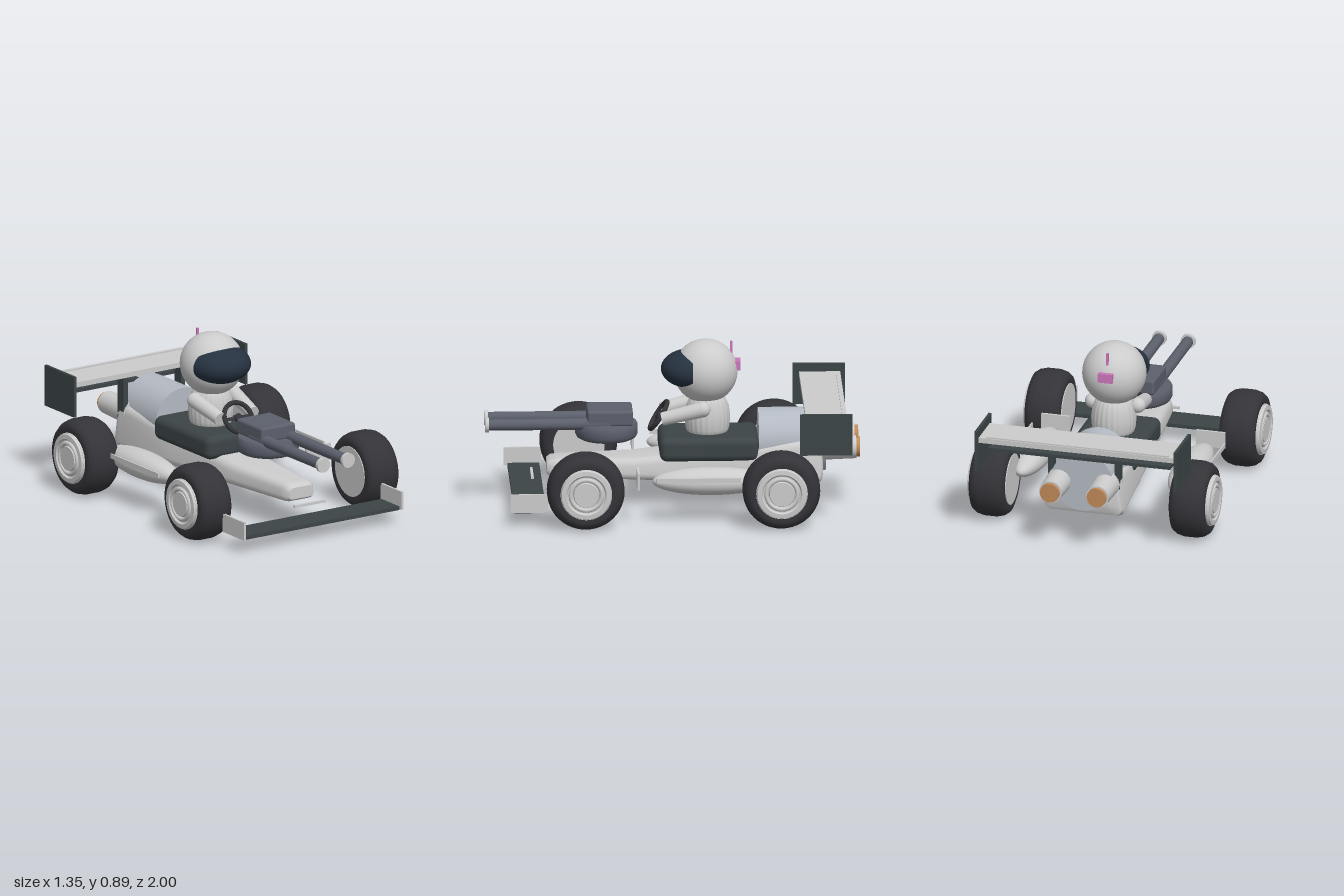
import * as THREE from 'three';
import { toCreasedNormals } from 'three/addons/utils/BufferGeometryUtils.js';
import { RoundedBoxGeometry } from 'three/addons/geometries/RoundedBoxGeometry.js';

const mat = (color) => new THREE.MeshStandardMaterial({ color, side: THREE.DoubleSide });

export function createModel() {
  const car = new THREE.Group();
  car.name = 'racingKart';
  const light = mat(0xcccccc);
  const dark = mat(0x3c4447);
  const rubber = mat(0x343338);
  const gunmetal = mat(0x5c606c);
  const steel = mat(0xb4bac3);
  const visorBlue = mat(0x263240);
  const pink = mat(0xcc77bb);
  const orange = mat(0xc08a58);

  const add = (name, geo, m, x = 0, y = 0, z = 0, parent = car) => {
    const mesh = new THREE.Mesh(geo, m);
    mesh.name = name;
    mesh.position.set(x, y, z);
    parent.add(mesh);
    return mesh;
  };
  const box = (name, m, w, h, d, x, y, z) => add(name, new THREE.BoxGeometry(w, h, d), m, x, y, z);
  // Cylinder along z: r0 at the back, r1 at the front
  const rod = (name, m, r0, r1, z0, z1, x, y, seg = 28) => add(name,
    new THREE.CylinderGeometry(r1, r0, z1 - z0, seg).rotateX(Math.PI / 2), m, x, y, (z0 + z1) / 2);
  // Cylinder between two points
  const limb = (name, m, a, b, r0, r1) => {
    const dir = b.clone().sub(a);
    const mesh = add(name, new THREE.CylinderGeometry(r1, r0, dir.length(), 20), m);
    mesh.position.copy(a).add(b).multiplyScalar(0.5);
    mesh.quaternion.setFromUnitVectors(new THREE.Vector3(0, 1, 0), dir.normalize());
    return mesh;
  };

  add('hull', hullGeometry(), light);

  // Cockpit tub and engine
  add('cockpit', new RoundedBoxGeometry(0.39, 0.13, 0.53, 5, 0.04), dark, 0, 0.335, -0.195);
  rod('engine', steel, 0.17, 0.17, -0.82, -0.46, 0, 0.35, 40);

  // Turret with twin barrels
  const turret = [[0, 0.365], [0.14, 0.365], [0.158, 0.375], [0.168, 0.395], [0.168, 0.44],
    [0.16, 0.455], [0, 0.455]].map(([r, y]) => new THREE.Vector2(r, y));
  add('turretBase', toCreasedNormals(new THREE.LatheGeometry(turret, 40), 0.6), gunmetal, 0, 0, 0.35);
  add('turretTop', new RoundedBoxGeometry(0.22, 0.085, 0.245, 3, 0.015), gunmetal, 0, 0.492, 0.333);

  // Front wing
  box('frontWing', dark, 1.01, 0.02, 0.17, 0, 0.09, 0.775);
  box('noseBar', light, 0.2, 0.014, 0.014, 0, 0.172, 0.748);

  // Rear wing
  box('rearWing', light, 1.1, 0.028, 0.22, 0, 0.564, -0.81);
  box('rearWingLip', light, 1.01, 0.012, 0.02, 0, 0.58, -0.905);
  box('lowerRearWing', dark, 1.01, 0.018, 0.09, 0, 0.5, -0.83);

  for (const s of [-1, 1]) {
    rod('barrel', gunmetal, 0.032, 0.03, 0.33, 0.99, s * 0.08, 0.46);
    rod('muzzle', light, 0.04, 0.04, 0.98, 1.0, s * 0.08, 0.46);
    box('frontEndplate', light, 0.013, 0.1, 0.2, s * 0.51, 0.135, 0.78);
    box('rearEndplate', dark, 0.016, 0.225, 0.28, s * 0.553, 0.51, -0.805);
    box('wingPost', dark, 0.028, 0.29, 0.06, s * 0.185, 0.41, -0.755);

    // Exhausts
    rod('exhaust', light, 0.062, 0.072, -0.98, -0.72, s * 0.13, 0.335);
    rod('exhaustGlow', orange, 0.053, 0.053, -1.0, -0.97, s * 0.13, 0.335);

    // Side pods with deflectors
    add('sidePod', new THREE.SphereGeometry(1, 32, 20).rotateX(Math.PI / 2).scale(0.09, 0.075, 0.32),
      light, s * 0.43, 0.23, -0.2);
    box('deflector', light, 0.16, 0.09, 0.014, s * 0.43, 0.245, 0.195);
    box('sideRail', light, 0.008, 0.025, 0.45, s * 0.535, 0.258, -0.125);

    // Wheels
    wheel('frontWheel', s, 0.54, 0.48);
    wheel('rearWheel', s, 0.555, -0.565);

    // Arms
    const shoulder = new THREE.Vector3(s * 0.125, 0.545, -0.16);
    const hand = new THREE.Vector3(s * 0.105, 0.49, 0.055);
    add('shoulder', new THREE.SphereGeometry(0.042, 20, 14), light, ...shoulder.toArray());
    limb('arm', light, shoulder, hand, 0.042, 0.036);
  }

  // Driver torso with fluted sides
  const profile = [[0, 0.38], [0.1, 0.38], [0.115, 0.42], [0.12, 0.48], [0.112, 0.54],
    [0.095, 0.58], [0.07, 0.61], [0, 0.62]].map(([r, y]) => new THREE.Vector2(r, y));
  const torso = new THREE.LatheGeometry(profile, 96);
  const p = torso.attributes.position;
  for (let i = 0; i < p.count; i++) {
    const k = 1 + 0.018 * Math.cos(24 * Math.atan2(p.getZ(i), p.getX(i)));
    p.setXYZ(i, p.getX(i) * k, p.getY(i), p.getZ(i) * k);
  }
  torso.computeVertexNormals();
  add('driverTorso', torso, light, 0, 0, -0.19);

  // Helmet, visor and radio
  add('helmet', new THREE.SphereGeometry(0.172, 40, 28), light, 0, 0.728, -0.18);
  add('visor', new THREE.SphereGeometry(1, 40, 20, 0, Math.PI * 2, 0, Math.PI / 2)
    .rotateX(Math.PI / 2).scale(0.17, 0.103, 0.165), visorBlue, 0, 0.742, -0.107);
  box('helmetRadio', pink, 0.08, 0.05, 0.03, 0, 0.762, -0.352);
  box('radioAntenna', pink, 0.012, 0.08, 0.012, 0, 0.85, -0.317);

  // Steering wheel
  const steering = new THREE.Group();
  steering.name = 'steeringWheel';
  steering.position.set(0, 0.485, 0.07);
  steering.rotation.x = -0.57;
  car.add(steering);
  add('rim', new THREE.TorusGeometry(0.085, 0.013, 12, 40), rubber, 0, 0, 0, steering);
  add('spoke', new THREE.BoxGeometry(0.165, 0.016, 0.01), rubber, 0, 0, 0, steering);
  add('hub', new THREE.CylinderGeometry(0.022, 0.022, 0.02, 20).rotateX(Math.PI / 2), rubber, 0, 0, 0, steering);

  // Tyre, rim and hub ring, mirrored to either side
  function wheel(name, s, x, z) {
    const g = new THREE.Group();
    g.name = name;
    g.position.set(s * x, 0.212, z);
    g.rotation.z = -s * Math.PI / 2;
    car.add(g);
    const half = [[0.135, 0.095], [0.16, 0.1], [0.182, 0.092], [0.198, 0.07], [0.207, 0.035]];
    const pts = [...half.map(([r, y]) => [r, -y]), ...half.slice().reverse()]
      .map(([r, y]) => new THREE.Vector2(r, y));
    add('tyre', new THREE.LatheGeometry(pts, 48), rubber, 0, 0, 0, g);
    add('rim', new THREE.CylinderGeometry(0.138, 0.138, 0.205, 40), light, 0, 0.002, 0, g);
    const cap = [[0.138, 0.1], [0.132, 0.116], [0.108, 0.118], [0.1, 0.108], [0, 0.108]]
      .map(([r, y]) => new THREE.Vector2(r, y));
    add('hubcap', toCreasedNormals(new THREE.LatheGeometry(cap, 40), 0.5), light, 0, 0, 0, g);
    add('hubRing', new THREE.TorusGeometry(0.083, 0.012, 10, 40).rotateX(Math.PI / 2), light, 0, 0.108, 0, g);
    add('hub', new THREE.CylinderGeometry(0.066, 0.07, 0.012, 32), light, 0, 0.112, 0, g);
  }
  return car;
}

// Tapered wedge lofted through rounded sections [z, half width, bottom, top]
function hullGeometry() {
  const sections = [
    [-0.8, 0.2, 0.18, 0.36], [-0.79, 0.215, 0.16, 0.38], [-0.76, 0.225, 0.15, 0.39],
    [-0.3, 0.185, 0.15, 0.33], [0.2, 0.14, 0.158, 0.275], [0.61, 0.1, 0.167, 0.267],
    [0.65, 0.095, 0.172, 0.262], [0.67, 0.08, 0.185, 0.248],
  ];
  const pos = [], idx = [], per = 24;
  for (const [z, w, y0, y1] of sections) {
    const r = Math.min(0.04, (y1 - y0) * 0.35);
    for (let c = 0; c < 4; c++) {
      const sx = c === 0 || c === 3 ? 1 : -1;
      const cy = c < 2 ? y1 - r : y0 + r;
      for (let k = 0; k < 6; k++) {
        const a = (c + k / 5) * Math.PI / 2;
        const y = cy + r * Math.sin(a);
        const narrow = 1 - 0.13 * (y - y0) / (y1 - y0);
        pos.push((sx * (w - r) + r * Math.cos(a)) * narrow, y, z);
      }
    }
  }
  const last = (sections.length - 1) * per;
  for (let i = 0; i < last; i += per) {
    for (let j = 0; j < per; j++) {
      const a = i + j, b = i + (j + 1) % per;
      idx.push(a, b, b + per, a, b + per, a + per);
    }
  }
  for (let j = 1; j < per - 1; j++) idx.push(0, j + 1, j, last, last + j, last + j + 1);
  const geo = new THREE.BufferGeometry();
  geo.setAttribute('position', new THREE.Float32BufferAttribute(pos, 3));
  geo.setIndex(idx);
  return toCreasedNormals(geo, 0.6);
}
